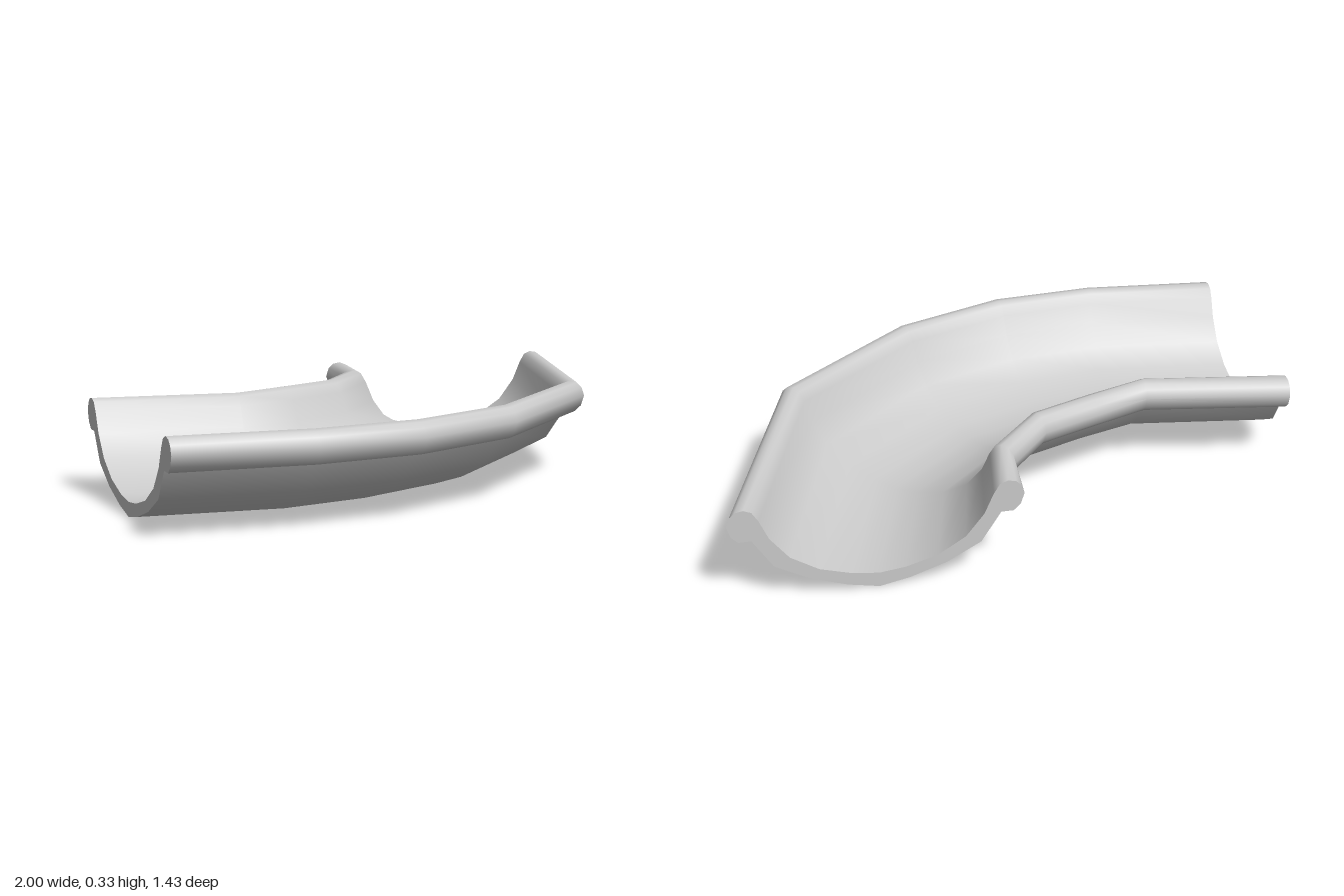
import * as THREE from 'three';
import { toCreasedNormals } from 'three/addons/utils/BufferGeometryUtils.js';

// Stations along the bend: [outer x, outer z, inner x, inner z]
const stations = [
  [-1, 0.665, -1, -0.27],
  [-0.54, 0.715, -0.51, -0.18],
  [-0.17, 0.69, -0.31, -0.26],
  [0.23, 0.535, -0.11, -0.34],
  [0.72, 0.12, 0.04, -0.52],
  [1, -0.715, 0.06, -0.715],
];

// Half section as [distance from the outer edge, height], for a width of 0.94
const WIDTH = 0.94;
const underside = [
  [0.37, 0.02], [0.25, 0.06], [0.14, 0.12], [0.075, 0.22],
];
const rim = [
  [0.035, 0.22], [0.012, 0.242], [0, 0.278], [0.01, 0.308], [0.028, 0.325],
  [0.055, 0.33], [0.08, 0.32], [0.1, 0.288],
];
const channel = [
  [0.13, 0.22], [0.19, 0.145], [0.28, 0.09], [0.385, 0.06],
];

// Closed section: bottom centre, up the outer side, across the channel, back down
function buildSection() {
  const half = [...underside, ...rim, ...channel];
  const mirrored = half.map(([d, y]) => [WIDTH - d, y]).reverse();
  return [[WIDTH / 2, 0], ...half, [WIDTH / 2, 0.05], ...mirrored]
    .map(([d, y]) => new THREE.Vector2(d / WIDTH, y));
}

// Sweep the section through the stations and close both ends
function sweepSection(section) {
  const n = section.length;
  const positions = [];
  const index = [];
  for (const [ox, oz, ix, iz] of stations) {
    for (const p of section) {
      positions.push(ox + (ix - ox) * p.x, p.y, oz + (iz - oz) * p.x);
    }
  }
  for (let s = 0; s < stations.length - 1; s++) {
    for (let i = 0; i < n; i++) {
      const a = s * n + i;
      const b = s * n + (i + 1) % n;
      index.push(a, a + n, b, b, a + n, b + n);
    }
  }
  const last = (stations.length - 1) * n;
  for (const face of THREE.ShapeUtils.triangulateShape(section, [])) {
    let [a, b, c] = face;
    const p = section[a], q = section[b], r = section[c];
    const area = (q.x - p.x) * (r.y - p.y) - (q.y - p.y) * (r.x - p.x);
    if (area > 0) [b, c] = [c, b];
    index.push(a, b, c, last + a, last + c, last + b);
  }
  const geometry = new THREE.BufferGeometry();
  geometry.setAttribute('position', new THREE.Float32BufferAttribute(positions, 3));
  geometry.setIndex(index);
  return toCreasedNormals(geometry, THREE.MathUtils.degToRad(48));
}

export function createModel() {
  const group = new THREE.Group();
  group.name = 'curvedChannel';

  // Open trough with rolled rims
  const material = new THREE.MeshStandardMaterial({ color: 0xcccccc });
  const trough = new THREE.Mesh(sweepSection(buildSection()), material);
  trough.name = 'rimmedTrough';
  group.add(trough);
  return group;
}
